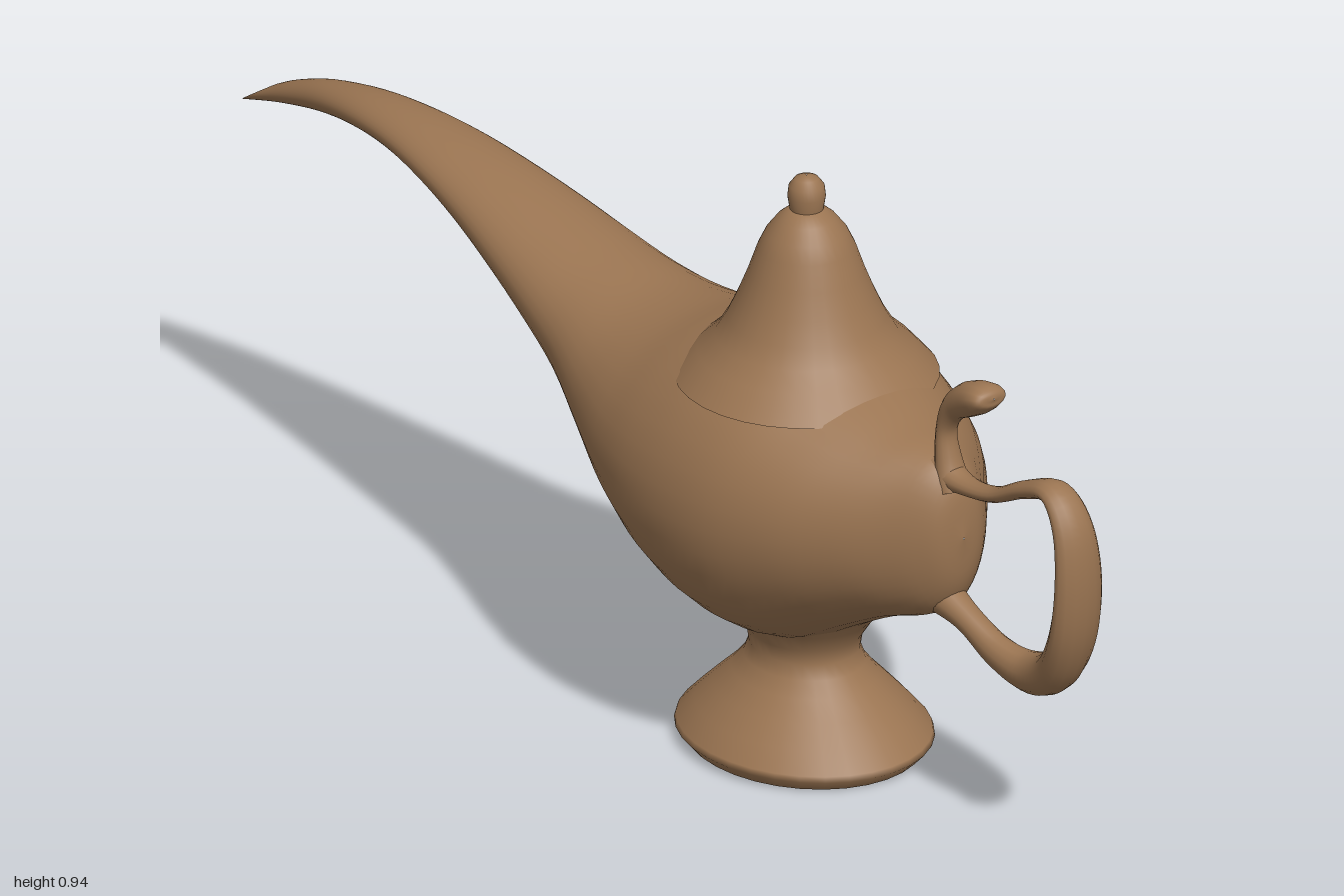
import * as THREE from 'three';

const bronze = new THREE.MeshStandardMaterial({ color: 0x9b7552 });
bronze.name = 'bronze';
const dark = new THREE.MeshStandardMaterial({ color: 0x2c1c12 });
dark.name = 'dark opening';

const V = (x, y, z = 0) => new THREE.Vector3(x, y, z);

// Smooth closed-ring skin; each ring is { c: centre, u, v: half axes }
function loft(rings, sides) {
  const pos = [], index = [];
  rings.forEach(({ c, u, v }, i) => {
    for (let j = 0; j < sides; j++) {
      const a = (j / sides) * Math.PI * 2;
      const p = c.clone().addScaledVector(u, Math.cos(a)).addScaledVector(v, Math.sin(a));
      pos.push(p.x, p.y, p.z);
      if (i === rings.length - 1) continue;
      const k = (j + 1) % sides, r = i * sides, s = r + sides;
      index.push(r + j, r + k, s + j, r + k, s + k, s + j);
    }
  });
  const g = new THREE.BufferGeometry();
  g.setAttribute('position', new THREE.Float32BufferAttribute(pos, 3));
  g.setIndex(index);
  g.computeVertexNormals();
  return g;
}

const spline = (pts) => new THREE.CatmullRomCurve3(pts, false, 'catmullrom', 0.5);

// Body sections: x, bottom y, top y, half width, forward lean of the section
function bodyRings(rows, steps) {
  const centre = spline(rows.map(([x, b, t]) => V(x, (b + t) / 2)));
  const size = spline(rows.map(([, b, t, w, lean = 0]) => V((t - b) / 2, w, lean)));
  return Array.from({ length: steps + 1 }, (_, i) => {
    const s = size.getPoint(i / steps);
    return { c: centre.getPoint(i / steps), u: V(s.z, Math.max(s.x, 0.001)), v: V(0, 0, Math.max(s.y, 0.001)) };
  });
}

// Bar along a path: x, y, z, in-plane radius, sideways radius
function sweep(rows, steps, sides) {
  const path = spline(rows.map(([x, y, z]) => V(x, y, z)));
  const size = spline(rows.map((r) => V(r[3], r[4])));
  const rings = Array.from({ length: steps + 1 }, (_, i) => {
    const t = path.getTangent(i / steps), s = size.getPoint(i / steps);
    const u = V(-t.y, t.x).normalize().multiplyScalar(Math.max(s.x, 0.001));
    return { c: path.getPoint(i / steps), u, v: V(0, 0, Math.max(s.y, 0.001)) };
  });
  return loft(rings, sides);
}

const turned = (pts) => new THREE.LatheGeometry(pts.map(([r, y]) => new THREE.Vector2(r, y)), 32);

export function createModel() {
  const model = new THREE.Group();
  const add = (name, geometry, material = bronze) => {
    const mesh = new THREE.Mesh(geometry, material);
    mesh.name = name;
    model.add(mesh);
    return mesh;
  };

  // Bowl flowing into the long curved spout
  const rings = bodyRings([
    [-0.96, 0.568, 0.622, 0.013, 0.04],
    [-0.89, 0.598, 0.645, 0.022, 0.015],
    [-0.8, 0.623, 0.673, 0.031],
    [-0.7, 0.637, 0.693, 0.045],
    [-0.6, 0.637, 0.699, 0.058],
    [-0.5, 0.62, 0.695, 0.073],
    [-0.4, 0.588, 0.684, 0.088],
    [-0.3, 0.545, 0.668, 0.105],
    [-0.2, 0.492, 0.65, 0.122],
    [-0.1, 0.43, 0.634, 0.142],
    [0, 0.358, 0.626, 0.178],
    [0.1, 0.288, 0.638, 0.218],
    [0.2, 0.23, 0.668, 0.247],
    [0.3, 0.198, 0.69, 0.257],
    [0.4, 0.205, 0.685, 0.246],
    [0.5, 0.26, 0.647, 0.208],
    [0.58, 0.303, 0.62, 0.155],
    [0.64, 0.325, 0.606, 0.105],
    [0.68, 0.35, 0.59, 0.07],
    [0.705, 0.4, 0.55, 0.04],
    [0.714, 0.475, 0.477, 0.001],
  ], 80);
  add('bowlAndSpout', loft(rings, 36));

  // Slanted mouth at the spout tip
  const tip = rings[0];
  const hub = { c: tip.c, u: tip.u.clone().multiplyScalar(0.01), v: tip.v.clone().multiplyScalar(0.01) };
  add('spoutMouth', loft([hub, tip], 20), dark);

  // Pointed lid with its flared skirt, and the knob on top
  add('lid', turned([
    [0.2, 0.615], [0.165, 0.655], [0.138, 0.68], [0.12, 0.71], [0.104, 0.745], [0.088, 0.785],
    [0.074, 0.825], [0.062, 0.85], [0.045, 0.872], [0.027, 0.887], [0.001, 0.892],
  ])).position.x = 0.34;
  add('knob', turned([
    [0.024, 0.875], [0.026, 0.89], [0.029, 0.908], [0.027, 0.925], [0.018, 0.937], [0.008, 0.941], [0.001, 0.942],
  ])).position.x = 0.34;

  // Oval foot, hollow underneath
  const foot = add('foot', turned([
    [0.001, 0.07], [0.09, 0.055], [0.15, 0.03], [0.185, 0.007], [0.195, 0.006], [0.212, 0.024], [0.209, 0.033],
    [0.18, 0.063], [0.15, 0.092], [0.12, 0.12], [0.1, 0.143], [0.091, 0.165], [0.095, 0.19], [0.115, 0.22], [0.14, 0.25],
  ]));
  foot.position.x = 0.335;
  foot.scale.z = 0.87;

  // Looped handle, heavier towards the bottom
  add('handle', sweep([
    [0.66, 0.575, 0, 0.03, 0.03],
    [0.72, 0.567, 0, 0.015, 0.02],
    [0.79, 0.578, 0, 0.012, 0.018],
    [0.86, 0.612, -0.003, 0.014, 0.021],
    [0.925, 0.63, -0.005, 0.016, 0.028],
    [0.965, 0.585, -0.006, 0.019, 0.036],
    [0.976, 0.5, -0.008, 0.021, 0.043],
    [0.96, 0.405, -0.011, 0.026, 0.044],
    [0.915, 0.33, -0.018, 0.032, 0.038],
    [0.85, 0.298, -0.022, 0.033, 0.031],
    [0.785, 0.31, -0.012, 0.026, 0.025],
    [0.72, 0.345, -0.003, 0.021, 0.023],
    [0.65, 0.37, 0, 0.034, 0.034],
  ], 72, 14));

  // Curled thumb rest ending in a rounded bud
  add('thumbRest', sweep([
    [0.69, 0.55, 0, 0.025, 0.03],
    [0.676, 0.6, 0, 0.018, 0.022],
    [0.673, 0.645, 0, 0.014, 0.018],
    [0.69, 0.685, -0.002, 0.021, 0.022],
    [0.722, 0.71, -0.004, 0.027, 0.029],
    [0.755, 0.725, -0.004, 0.024, 0.033],
    [0.775, 0.731, -0.004, 0.014, 0.027],
    [0.781, 0.732, -0.004, 0.001, 0.001],
  ], 40, 14));

  return model;
}
